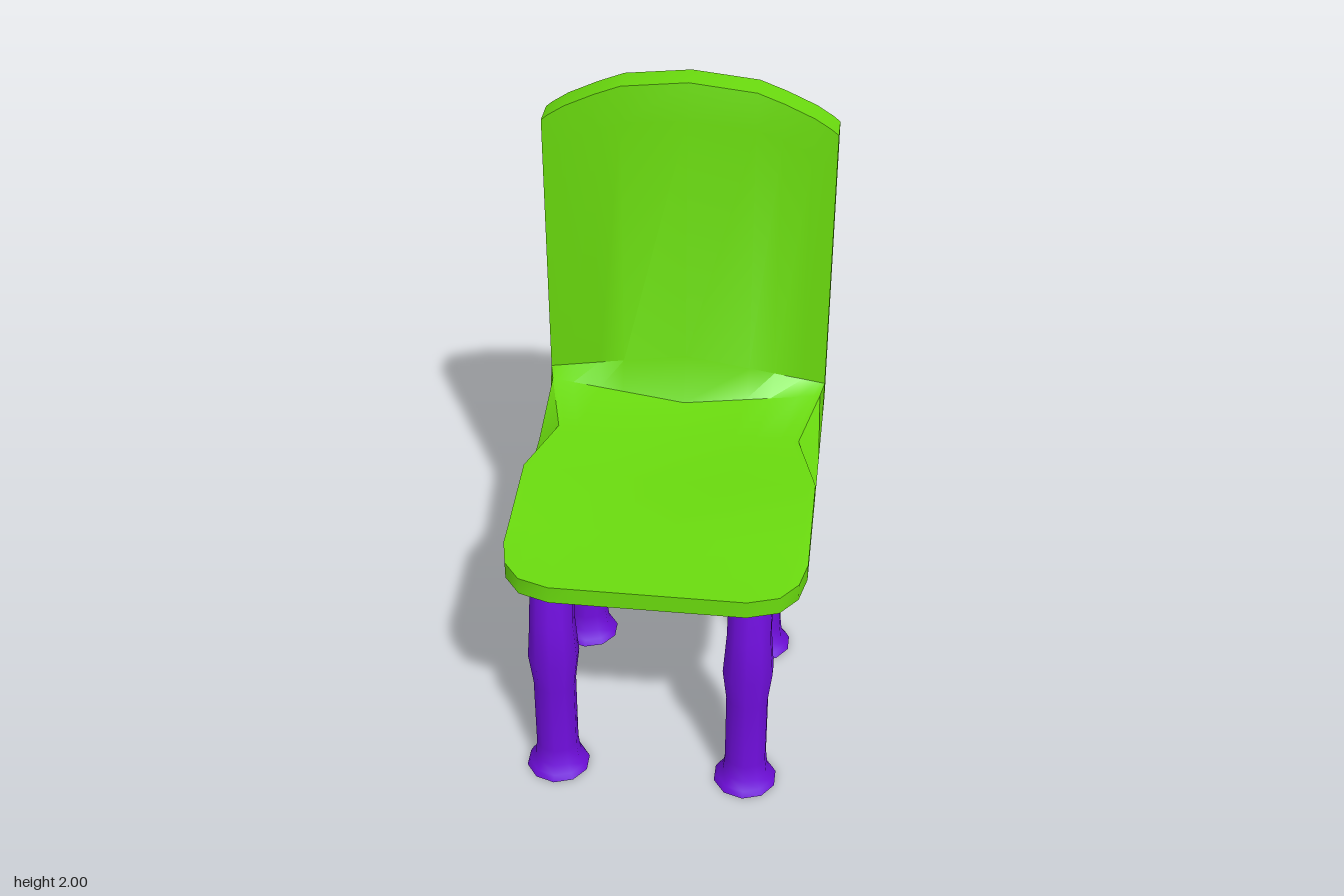
import * as THREE from 'three';
import { toCreasedNormals } from 'three/addons/utils/BufferGeometryUtils.js';

const lerp = THREE.MathUtils.lerp;
const HALF = 0.44;

// One column of the shell: matching points on the sitting side and the underside/back.
function shellColumn(x, front, top) {
  const e = Math.abs(x) / HALF; // 0 at the centre, 1 at the edge
  const P = (w, y, z) => [x * w / HALF, y, z];
  const inner = [
    P(HALF, 0.925, front),
    P(HALF, 0.93, 0.3),
    P(HALF, 0.93 + 0.027 * e, 0.04),
    P(0.375, 0.917 + 0.015 * e, -0.21), // pinched waist
    P(0.428, lerp(0.935, 0.965, e), lerp(-0.375, -0.42, e)),
    P(HALF, lerp(1.08, 0.98, e), lerp(-0.425, -0.47, e)),
    P(HALF, top - 0.11, lerp(-0.433, -0.47, e)),
    P(HALF, top, lerp(-0.455, -0.47, e)),
  ];
  const outer = [
    P(HALF, 0.87, front),
    P(HALF, 0.87, 0.3),
    P(HALF, 0.87, 0.04),
    P(HALF, 0.87, -0.21),
    P(HALF, 0.87, -0.42),
    P(HALF, 0.868, -0.56),
    P(HALF, top - 0.11, lerp(-0.555, -0.562, e)),
    P(HALF, top, lerp(-0.545, -0.562, e)),
  ];
  return { inner, outer };
}

function shellGeometry() {
  // half outline: x, front edge z, backrest top y
  const half = [
    [0, 0.56, 2], [0.2, 0.56, 1.975], [0.28, 0.56, 1.943],
    [0.37, 0.53, 1.9], [0.42, 0.465, 1.867], [HALF, 0.375, 1.85],
  ];
  const outline = [...half.slice(1).reverse().map(([x, f, t]) => [-x, f, t]), ...half];
  const cols = outline.map((o) => shellColumn(...o));
  const pos = [];
  const quad = (a, b, c, d) => pos.push(...a, ...b, ...c, ...a, ...c, ...d);
  const last = cols[0].inner.length - 1;

  for (let c = 0; c < cols.length - 1; c++) {
    const A = cols[c], B = cols[c + 1];
    for (let r = 0; r < last; r++) {
      quad(A.inner[r], B.inner[r], B.inner[r + 1], A.inner[r + 1]);
      quad(A.outer[r], A.outer[r + 1], B.outer[r + 1], B.outer[r]);
    }
    quad(A.outer[0], B.outer[0], B.inner[0], A.inner[0]); // front rim
    quad(A.inner[last], B.inner[last], B.outer[last], A.outer[last]); // top rim
  }
  // side rims
  const L = cols[0], R = cols[cols.length - 1];
  for (let r = 0; r < last; r++) {
    quad(R.outer[r], R.outer[r + 1], R.inner[r + 1], R.inner[r]);
    quad(L.outer[r], L.inner[r], L.inner[r + 1], L.outer[r + 1]);
  }
  const g = new THREE.BufferGeometry();
  g.setAttribute('position', new THREE.Float32BufferAttribute(pos, 3));
  return toCreasedNormals(g, 0.65);
}

// Turned leg with flared foot and knee, leaning back above the knee
function legGeometry() {
  const profile = [
    [0, 0.02], [0.06, 0.015], [0.1, 0], [0.09, 0.02], [0.072, 0.045], [0.066, 0.1],
    [0.066, 0.35], [0.079, 0.46], [0.069, 0.6], [0.066, 0.87], [0, 0.875],
  ].map(([r, y]) => new THREE.Vector2(r, y));
  const g = new THREE.LatheGeometry(profile, 10);
  const p = g.attributes.position;
  for (let i = 0; i < p.count; i++) {
    p.setZ(i, p.getZ(i) - Math.max(0, p.getY(i) - 0.6) * 0.2);
  }
  return toCreasedNormals(g, 0.9);
}

export function createModel() {
  const group = new THREE.Group();
  group.name = 'chair';
  const green = new THREE.MeshStandardMaterial({ color: 0x6adb0e });
  const purple = new THREE.MeshStandardMaterial({ color: 0x6f0edb });

  const shell = new THREE.Mesh(shellGeometry(), green);
  shell.name = 'seatAndBackrest';
  group.add(shell);

  const legGeo = legGeometry();
  for (const [side, x] of [['Left', 0.275], ['Right', -0.32]]) {
    for (const [end, z] of [['front', 0.317], ['back', -0.323]]) {
      const leg = new THREE.Mesh(legGeo, purple);
      leg.name = `${end}${side}Leg`;
      leg.position.set(x, 0, z);
      group.add(leg);
    }
  }
  return group;
}
